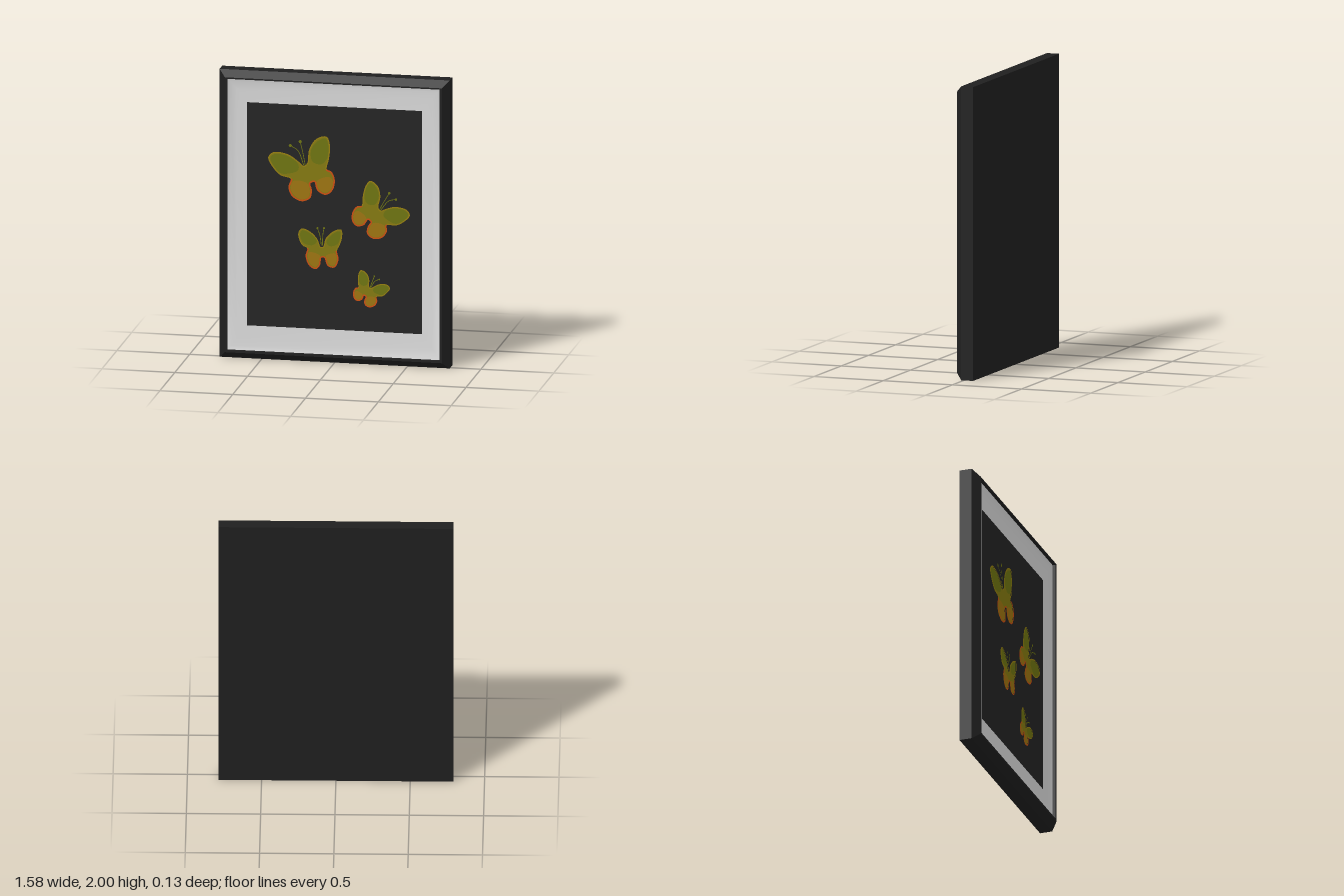
import * as THREE from 'three';

const material = (name, color) => new THREE.MeshStandardMaterial({ name, color, side: THREE.DoubleSide });
const mats = {
  frame: material('black frame', 0x202020),
  mat: material('white mat', 0xdcdcdc),
  art: material('charcoal panel', 0x242424),
  olive: material('olive wing', 0x70760f),
  mustard: material('mustard wing', 0x867b0f),
  ochre: material('ochre wing', 0x9f760f),
  orange: material('orange rim', 0xd0500f),
  gold: material('gold rim', 0x9a820c),
};

function add(parent, name, geometry, mat) {
  const mesh = new THREE.Mesh(geometry, mat);
  mesh.name = name;
  parent.add(mesh);
  return mesh;
}

// Skin a series of rectangles [half width, bottom, top, z]
function rectLoft(rects, flat) {
  const pos = [], index = [];
  for (const [w, y0, y1, z] of rects) pos.push(-w, y0, z, w, y0, z, w, y1, z, -w, y1, z);
  for (let r = 0; r < rects.length - 1; r++) {
    for (let i = 0; i < 4; i++) {
      const a = r * 4 + i, b = r * 4 + (i + 1) % 4;
      index.push(a, b, b + 4, a, b + 4, a + 4);
    }
  }
  let g = new THREE.BufferGeometry();
  g.setAttribute('position', new THREE.Float32BufferAttribute(pos, 3));
  g.setIndex(index);
  if (flat) g = g.toNonIndexed();
  g.computeVertexNormals();
  return g;
}

// Smooth run of points through a few control points
const smooth = (pts, closed, steps = 6) =>
  new THREE.CatmullRomCurve3(pts.map(([x, y]) => new THREE.Vector3(x, y, 0)), closed, 'centripetal')
    .getPoints(pts.length * steps);

const patch = (pts, z) => new THREE.ShapeGeometry(
  new THREE.Shape(smooth(pts, true).slice(0, -1).map(p => new THREE.Vector2(p.x, p.y)))).translate(0, 0, z);

// Flat ribbon following a line of points
function ribbon(line, width, z) {
  const pos = [], index = [];
  line.forEach((p, i) => {
    const a = line[Math.max(i - 1, 0)], b = line[Math.min(i + 1, line.length - 1)];
    const t = b.clone().sub(a).normalize().multiplyScalar(width / 2);
    pos.push(p.x - t.y, p.y + t.x, z, p.x + t.y, p.y - t.x, z);
    if (i) index.push(2 * i - 2, 2 * i - 1, 2 * i, 2 * i - 1, 2 * i + 1, 2 * i);
  });
  const g = new THREE.BufferGeometry();
  g.setAttribute('position', new THREE.Float32BufferAttribute(pos, 3));
  g.setIndex(index);
  g.computeVertexNormals();
  return g;
}

// Butterfly seen at an angle
const tilted = {
  outline: [[-.21, 1.355], [-.256, 1.39], [-.32, 1.43], [-.415, 1.44], [-.45, 1.407], [-.43, 1.355], [-.37, 1.29],
    [-.295, 1.265], [-.31, 1.205], [-.288, 1.148], [-.225, 1.117], [-.17, 1.14], [-.16, 1.195], [-.17, 1.24],
    [-.135, 1.255], [-.113, 1.195], [-.06, 1.17], [-.018, 1.2], [-.002, 1.27], [-.023, 1.323], [-.055, 1.34],
    [-.04, 1.42], [-.034, 1.508], [-.055, 1.566], [-.124, 1.545], [-.17, 1.47], [-.182, 1.38]],
  lower: [7, 20],
  upperWings: [
    [[-.44, 1.405], [-.41, 1.43], [-.32, 1.42], [-.25, 1.37], [-.25, 1.325], [-.31, 1.3], [-.37, 1.3], [-.425, 1.36]],
    [[-.16, 1.47], [-.12, 1.53], [-.06, 1.555], [-.042, 1.508], [-.05, 1.42], [-.09, 1.375], [-.15, 1.39]]],
  lowerWings: [
    [[-.28, 1.25], [-.3, 1.2], [-.28, 1.155], [-.225, 1.125], [-.178, 1.145], [-.17, 1.2], [-.19, 1.24]],
    [[-.125, 1.25], [-.105, 1.2], [-.06, 1.18], [-.025, 1.205], [-.01, 1.26], [-.04, 1.29]]],
  antennae: [[[-.2, 1.36], [-.215, 1.44], [-.235, 1.525]], [[-.21, 1.36], [-.25, 1.46], [-.303, 1.495]]],
};

// Butterfly seen from straight above
const level = {
  outline: [[-.097, .8], [-.119, .852], [-.166, .9], [-.224, .92], [-.245, .884], [-.219, .81], [-.182, .788],
    [-.193, .735], [-.171, .672], [-.129, .65], [-.103, .677], [-.092, .73], [-.066, .73], [-.044, .677],
    [-.002, .667], [.024, .72], [.014, .778], [.035, .825], [.05, .878], [.045, .926], [-.007, .91],
    [-.055, .862], [-.076, .8]],
  lower: [6, 16],
  upperWings: [
    [[-.12, .84], [-.165, .89], [-.222, .91], [-.236, .88], [-.215, .825], [-.15, .81]],
    [[-.055, .84], [-.005, .898], [.038, .915], [.04, .875], [.02, .825], [-.035, .81]]],
  lowerWings: [
    [[-.175, .76], [-.183, .73], [-.165, .68], [-.13, .66], [-.11, .68], [-.1, .74]],
    [[-.058, .74], [-.037, .685], [-.004, .677], [.015, .72], [.006, .76]]],
  antennae: [[[-.09, .81], [-.1, .88], [-.117, .93]], [[-.082, .81], [-.08, .88], [-.072, .932]]],
};

function butterfly(name, d, place = p => p, size = 1) {
  const g = new THREE.Group();
  g.name = name;
  const outline = d.outline.map(place);
  add(g, 'wings', patch(outline, 0.028), mats.mustard);
  d.upperWings.forEach(w => add(g, 'upperWing', patch(w.map(place), 0.03), mats.olive));
  d.lowerWings.forEach(w => add(g, 'lowerWing', patch(w.map(place), 0.03), mats.ochre));
  // Rim, orange round the lower wings
  const line = smooth(outline, true), [a, b] = d.lower.map(i => i * 6);
  const rim = 0.007 + 0.004 * size;
  add(g, 'lowerRim', ribbon(line.slice(a, b + 1), rim, 0.032), mats.orange);
  add(g, 'upperRim', ribbon([...line.slice(b), ...line.slice(1, a + 1)], rim * 0.7, 0.032), mats.gold);
  for (const feeler of d.antennae) {
    const pts = feeler.map(place), tip = pts[2];
    add(g, 'antenna', ribbon(smooth(pts, false), 0.005, 0.029), mats.olive);
    add(g, 'antennaTip', new THREE.CircleGeometry(0.011 * size, 10).translate(tip[0], tip[1], 0.03), mats.olive);
  }
  return g;
}

// Mirror, turn and shrink the tilted butterfly so its wing tip lands at x, y
const mirrored = (x, y, size, degrees) => ([px, py]) => {
  const a = THREE.MathUtils.degToRad(degrees), dx = -.055 - px, dy = py - 1.566;
  return [x + size * (dx * Math.cos(a) - dy * Math.sin(a)), y + size * (dx * Math.sin(a) + dy * Math.cos(a))];
};

export function createModel() {
  const model = new THREE.Group();
  model.name = 'framedButterflies';

  // Chamfered frame with a closed back
  add(model, 'frame', rectLoft([
    [.79, 0, 2, -.067], [.79, 0, 2, .02], [.745, .045, 1.955, .067], [.73, .06, 1.945, .067], [.73, .06, 1.945, .02],
  ], true), mats.frame);
  add(model, 'back', new THREE.PlaneGeometry(1.58, 2).rotateY(Math.PI).translate(0, 1, -.067), mats.frame);

  // Mat curving down to the panel
  add(model, 'mat', rectLoft([
    [.73, .06, 1.945, .045], [.71, .085, 1.92, .035], [.67, .137, 1.867, .028], [.6, .23, 1.778, .024],
  ], false), mats.mat);
  add(model, 'panel', new THREE.BoxGeometry(1.2, 1.55, .02).translate(0, 1.004, .015), mats.art);

  model.add(
    butterfly('largeButterfly', tilted),
    butterfly('rightButterfly', tilted, mirrored(.247, 1.275, .82, -18), .82),
    butterfly('middleButterfly', level, undefined, .65),
    butterfly('smallButterfly', tilted, mirrored(.183, .651, .53, -8), .53),
  );
  return model;
}
